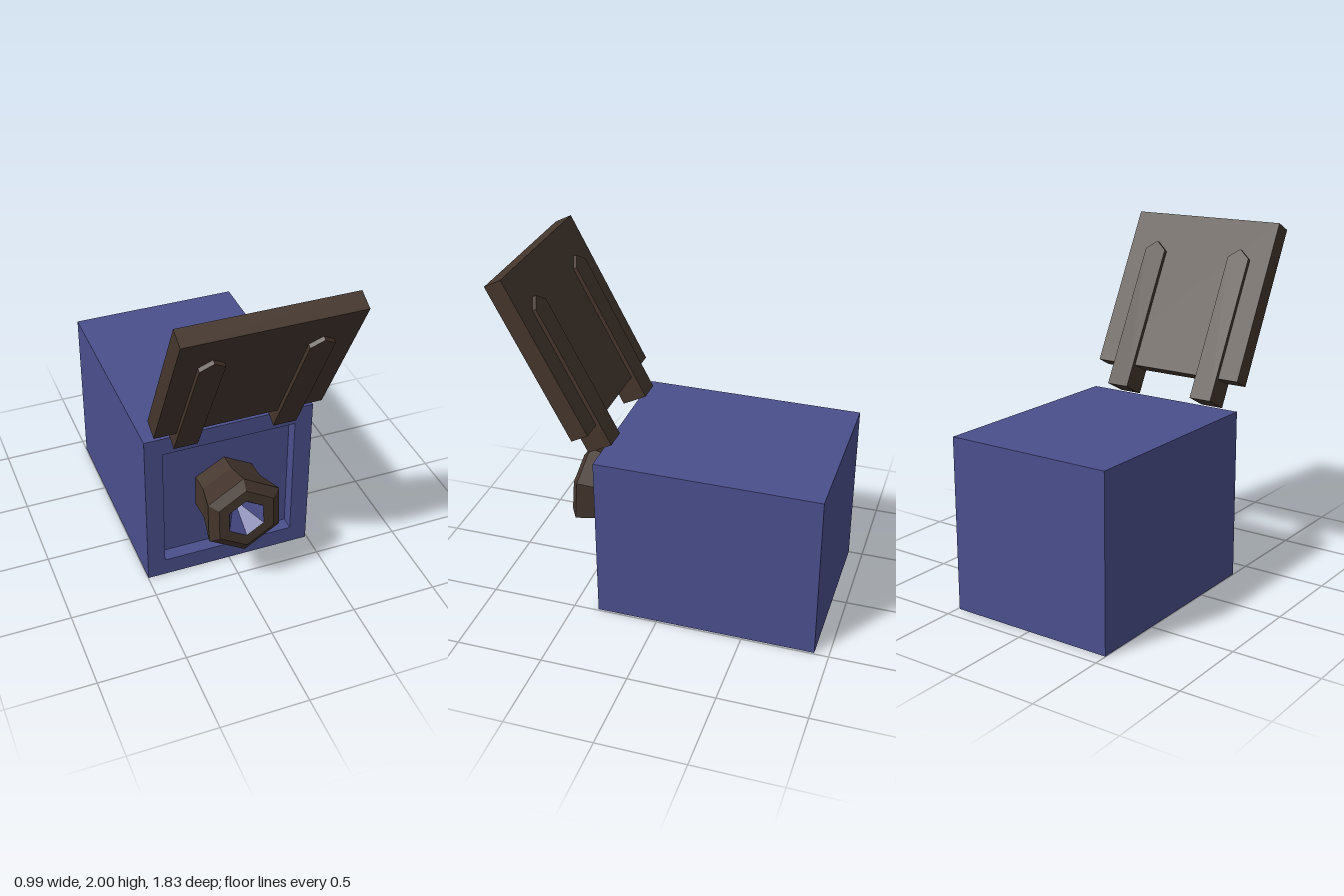
import * as THREE from 'three';

const blue = new THREE.MeshStandardMaterial({ color: 0x4b4f8d });
blue.name = 'blue';
const brown = new THREE.MeshStandardMaterial({ color: 0x44362d });
brown.name = 'darkBrown';

function addMesh(parent, name, geometry, material, x = 0, y = 0, z = 0) {
  const mesh = new THREE.Mesh(geometry, material);
  mesh.name = name;
  mesh.position.set(x, y, z);
  parent.add(mesh);
  return mesh;
}

// Box without its +z face; inward turns the walls to face the inside
function openBox(w, h, d, inward) {
  const g = new THREE.BoxGeometry(w, h, d);
  const index = [...g.index.array];
  index.splice(24, 6);
  if (inward) index.reverse();
  g.clearGroups();
  g.setIndex(index);
  g.computeVertexNormals();
  return g;
}

function rectangle(path, w, h) {
  return path.moveTo(-w / 2, -h / 2).lineTo(w / 2, -h / 2).lineTo(w / 2, h / 2).lineTo(-w / 2, h / 2).closePath();
}

// Flat-shaded hexagonal lathe from [radius, height] pairs
function hexLathe(pairs) {
  const g = new THREE.LatheGeometry(pairs.map(([r, s]) => new THREE.Vector2(r, s)), 6).toNonIndexed();
  g.computeVertexNormals();
  return g;
}

export function createModel() {
  const model = new THREE.Group();
  model.name = 'boxWithLidAndNozzle';
  const cx = -0.004;

  // Body: open box, front rim and shallow recess
  const body = new THREE.Group();
  body.name = 'body';
  model.add(body);
  const w = 0.988, h = 0.99, d = 1.272, front = 0.355;
  const rw = 0.78, rh = 0.776, rd = 0.08;
  addMesh(body, 'bodyShell', openBox(w, h, d, false), blue, cx, h / 2, front - d / 2);
  const rim = rectangle(new THREE.Shape(), w, h);
  rim.holes.push(rectangle(new THREE.Path(), rw, rh));
  addMesh(body, 'frontRim', new THREE.ShapeGeometry(rim), blue, cx, h / 2, front);
  addMesh(body, 'frontRecess', openBox(rw, rh, rd, true), blue, cx, h / 2, front - rd / 2);

  // Flared hexagonal nozzle, tipped slightly upward
  const nozzle = new THREE.Group();
  nozzle.name = 'nozzle';
  nozzle.position.set(-0.006, 0.51, 0.402);
  nozzle.rotation.x = Math.PI / 2 - 0.076;
  model.add(nozzle);
  addMesh(nozzle, 'nozzleBarrel', hexLathe([[0.197, -0.15], [0.197, 0], [0.242, 0.183], [0.184, 0.22], [0.117, 0.22]]), brown);
  addMesh(nozzle, 'nozzleBore', hexLathe([[0.117, 0.22], [0, 0.03]]), blue);

  // Raised lid leaning forward, with two pointed straps through it
  const lid = new THREE.Group();
  lid.name = 'lid';
  lid.position.set(0, 1.13, 0.428);
  lid.rotation.x = 0.481;
  model.add(lid);
  addMesh(lid, 'lidPanel', new THREE.BoxGeometry(0.96, 0.953, 0.107), brown, 0, 0.4765, 0);
  const half = 0.068, thick = 0.154;
  const strap = new THREE.Shape()
    .moveTo(-half, -0.14).lineTo(half, -0.14).lineTo(half, 0.716).lineTo(0, 0.769).lineTo(-half, 0.716).closePath();
  const strapGeometry = new THREE.ExtrudeGeometry(strap, { depth: thick, bevelEnabled: false });
  for (const side of [-1, 1]) {
    addMesh(lid, side > 0 ? 'leftStrap' : 'rightStrap', strapGeometry, brown, side * 0.287, 0, -thick / 2);
  }
  return model;
}
